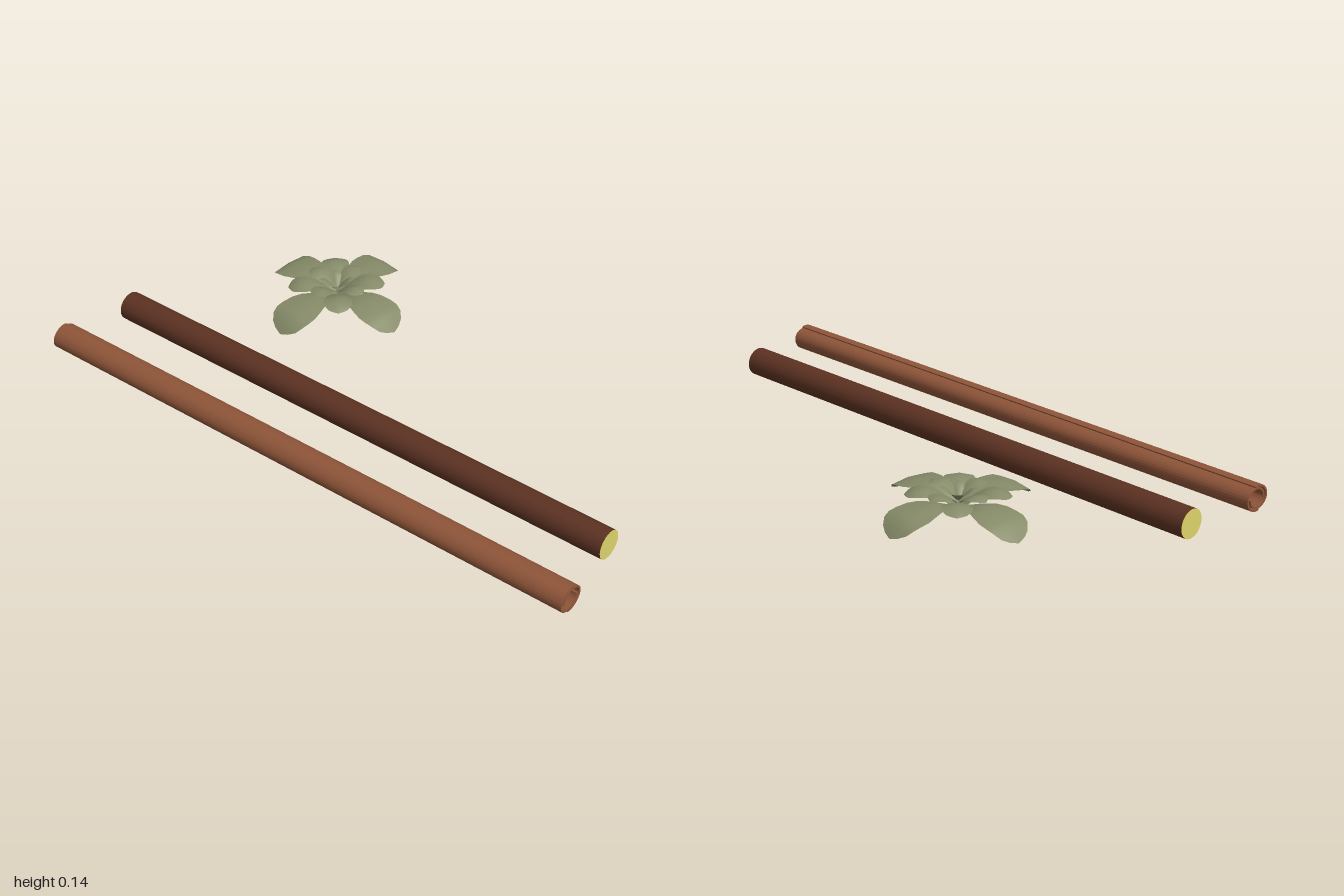
import * as THREE from 'three';

const mat = (color, extra = {}) => new THREE.MeshStandardMaterial({ color, ...extra });
const deg = Math.PI / 180;

// One curled sheet of bark: a thick open arc whose radius shrinks along the curl
function curlSheet(startDeg, sweepDeg, material) {
  const radii = new THREE.SplineCurve([
    new THREE.Vector2(0, 0.043), new THREE.Vector2(0.2, 0.045), new THREE.Vector2(0.4, 0.049),
    new THREE.Vector2(0.62, 0.039), new THREE.Vector2(0.8, 0.034), new THREE.Vector2(1, 0.036),
  ]);
  const outer = [], inner = [], steps = 28;
  for (let i = 0; i <= steps; i++) {
    const a = (startDeg + sweepDeg * i / steps) * deg;
    const r = radii.getPoint(i / steps).y;
    outer.push(new THREE.Vector2(Math.cos(a) * r, Math.sin(a) * r));
    inner.push(new THREE.Vector2(Math.cos(a) * (r - 0.007), Math.sin(a) * (r - 0.007)));
  }
  const shape = new THREE.Shape([...outer, ...inner.reverse()]);
  const geo = new THREE.ExtrudeGeometry(shape, { depth: 2, bevelEnabled: false });
  geo.translate(0, 0, -1);
  return new THREE.Mesh(geo, material);
}

// Leaf surface growing along +x; profile holds [distance, height, half width]
function leafGeometry(profile, fold) {
  const line = new THREE.CatmullRomCurve3(profile.map(p => new THREE.Vector3(...p)));
  const rows = 10, cols = 4, pos = [], index = [];
  for (let i = 0; i <= rows; i++) {
    const p = line.getPoint(i / rows);
    for (let j = 0; j <= cols; j++) {
      const s = j / cols * 2 - 1;
      pos.push(p.x, p.y - Math.abs(s) * fold * Math.sin(Math.PI * i / rows), s * Math.max(p.z, 0.001));
    }
  }
  for (let i = 0; i < rows; i++) for (let j = 0; j < cols; j++) {
    const a = i * (cols + 1) + j, b = a + cols + 1;
    index.push(a, a + 1, b, b, a + 1, b + 1);
  }
  const geo = new THREE.BufferGeometry();
  geo.setAttribute('position', new THREE.Float32BufferAttribute(pos, 3));
  geo.setIndex(index);
  geo.computeVertexNormals();
  return geo;
}

export function createModel() {
  const model = new THREE.Group();

  // Hollow quill made of two interlocking curls
  const quill = new THREE.Group();
  quill.name = 'rolledBark';
  const barkMat = mat(0x8f5539);
  [['upperCurl', 72, 290], ['lowerCurl', -105, 285]].forEach(([name, start, sweep]) => {
    const sheet = curlSheet(start, sweep, barkMat);
    sheet.name = name;
    quill.add(sheet);
  });
  quill.position.set(-0.46, 0.059, 0);
  model.add(quill);

  // Solid stick with pale cut ends
  const endMat = mat(0xdcd26a);
  const stick = new THREE.Mesh(
    new THREE.CylinderGeometry(0.048, 0.048, 1.91, 24), [mat(0x5c3222), endMat, endMat]);
  stick.name = 'solidStick';
  stick.rotation.x = Math.PI / 2;
  stick.position.set(-0.195, 0.0485, -0.003);
  model.add(stick);

  // Rosette of leaves in rings of four, largest outside
  const rosette = new THREE.Group();
  rosette.name = 'leafRosette';
  const leafMat = mat(0x868b69, { side: THREE.DoubleSide });
  const rings = [
    { name: 'outerLeaf', turn: -5, fold: 0.008, profile: [
      [0, 0.075, 0.012], [0.06, 0.105, 0.03], [0.12, 0.119, 0.058], [0.175, 0.113, 0.073],
      [0.22, 0.103, 0.07], [0.25, 0.074, 0.045], [0.264, 0.056, 0.002]] },
    { name: 'middleLeaf', turn: 42, fold: 0.008, profile: [
      [0, 0.08, 0.01], [0.045, 0.112, 0.026], [0.09, 0.132, 0.044], [0.125, 0.132, 0.045],
      [0.148, 0.123, 0.03], [0.16, 0.115, 0.002]] },
    { name: 'innerLeaf', turn: -2, fold: 0.006, profile: [
      [0, 0.088, 0.008], [0.035, 0.12, 0.02], [0.07, 0.138, 0.033], [0.095, 0.138, 0.031],
      [0.115, 0.13, 0.002]] },
    { name: 'budLeaf', turn: 40, fold: 0.004, profile: [
      [0, 0.1, 0.005], [0.02, 0.122, 0.012], [0.04, 0.137, 0.016], [0.058, 0.141, 0.002]] },
  ];
  for (const { name, turn, fold, profile } of rings) {
    const geo = leafGeometry(profile, fold);
    for (let k = 0; k < 4; k++) {
      const leaf = new THREE.Mesh(geo, leafMat);
      leaf.name = name + (k + 1);
      leaf.rotation.y = (turn + 90 * k) * deg;
      rosette.add(leaf);
    }
  }
  rosette.position.set(0.247, 0, -0.433);
  model.add(rosette);

  return model;
}
